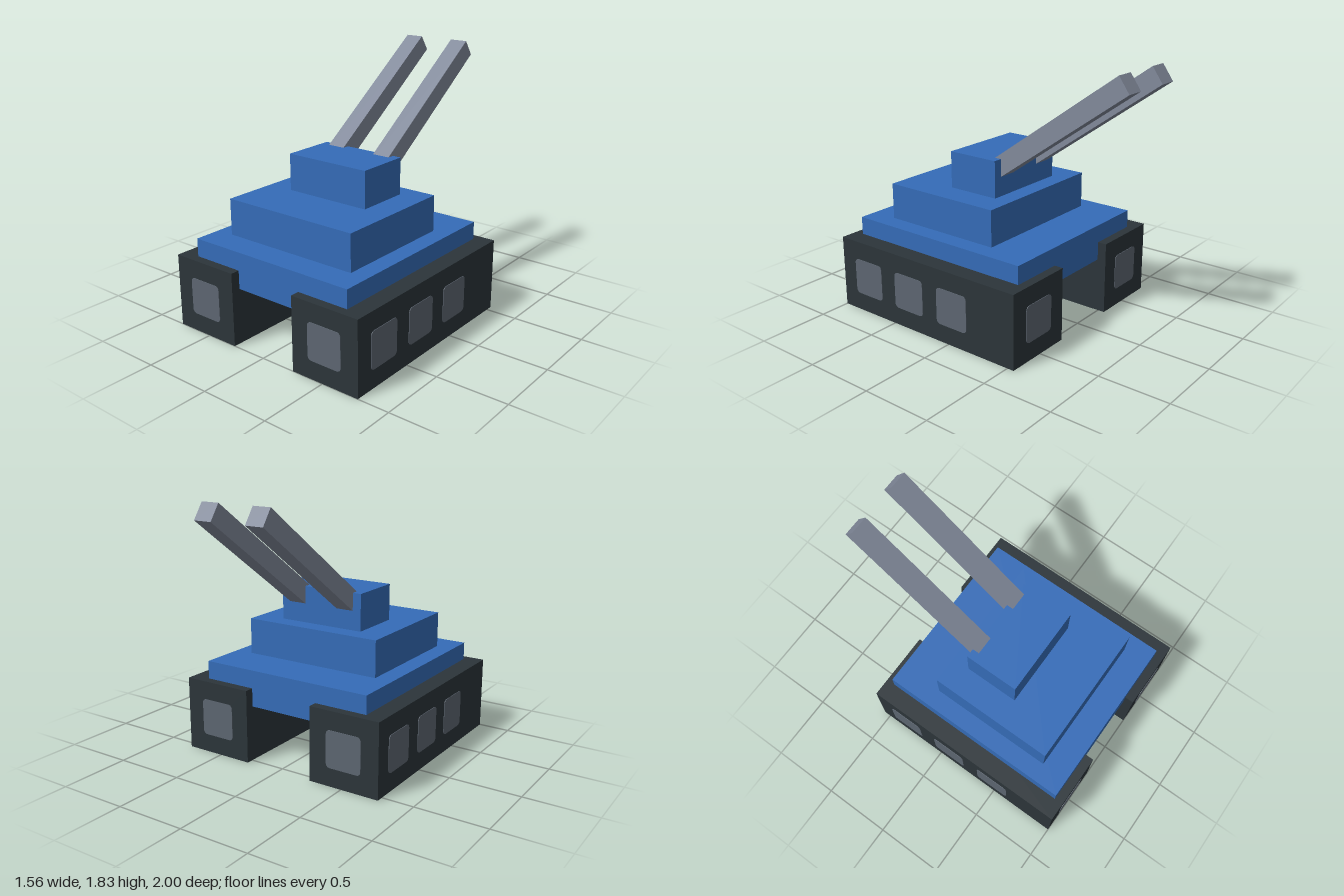
import * as THREE from 'three';

export function createModel() {
  const model = new THREE.Group();
  const paint = (name, color) => {
    const m = new THREE.MeshStandardMaterial({ color });
    m.name = name;
    return m;
  };
  const blue = paint('hull blue', 0x356cb8);
  const dark = paint('track charcoal', 0x2c353a);
  const grey = paint('barrel grey', 0x828a9b);
  const slate = paint('wheel slate', 0x5d6671);

  const add = (name, geometry, material, x, y, z, parent = model) => {
    const mesh = new THREE.Mesh(geometry, material);
    mesh.name = name;
    mesh.position.set(x, y, z);
    parent.add(mesh);
    return mesh;
  };
  // Box given by half width, vertical range and depth range
  const tier = (name, hw, y0, y1, z0, z1) =>
    add(name, new THREE.BoxGeometry(hw * 2, y1 - y0, z1 - z0), blue, 0, (y0 + y1) / 2, (z0 + z1) / 2);

  // Stepped body
  tier('hull', 0.645, 0.39, 0.648, -0.485, 0.935);
  tier('upperHull', 0.516, 0.648, 0.905, -0.162, 0.74);
  tier('turret', 0.322, 0.905, 1.165, -0.035, 0.353);

  // Thin square wheel panel with rounded corners
  const h = 0.13, r = 0.03;
  const outline = new THREE.Shape();
  outline.absarc(h - r, h - r, r, 0, Math.PI / 2);
  outline.absarc(r - h, h - r, r, Math.PI / 2, Math.PI);
  outline.absarc(r - h, r - h, r, Math.PI, Math.PI * 1.5);
  outline.absarc(h - r, r - h, r, Math.PI * 1.5, Math.PI * 2);
  const panel = new THREE.ExtrudeGeometry(outline, { depth: 0.004, bevelEnabled: false, curveSegments: 3 });

  // Each track unit is the other one turned half way round, barrels are mirrored
  for (const side of [1, -1]) {
    const track = new THREE.Group();
    track.name = side > 0 ? 'leftTrack' : 'rightTrack';
    track.position.set(side * 0.517, 0.26, 0.225);
    track.rotation.y = side > 0 ? 0 : Math.PI;
    model.add(track);
    add('trackBlock', new THREE.BoxGeometry(0.516, 0.52, 1.55), dark, 0, 0, 0, track);
    for (const z of [0.52, 0.13, -0.258])
      add('sideWheelPanel', panel, slate, 0.258, 0, z, track).rotation.y = Math.PI / 2;
    add('endWheelPanel', panel, slate, 0, 0, 0.775, track);
    add('endWheelPanel', panel, slate, 0, 0, -0.775, track).rotation.y = Math.PI;

    // Raised gun barrel
    add(side > 0 ? 'leftBarrel' : 'rightBarrel', new THREE.BoxGeometry(0.13, 0.13, 1.4), grey,
      side * 0.194, 1.372, -0.39).rotation.x = 0.616;
  }
  return model;
}
